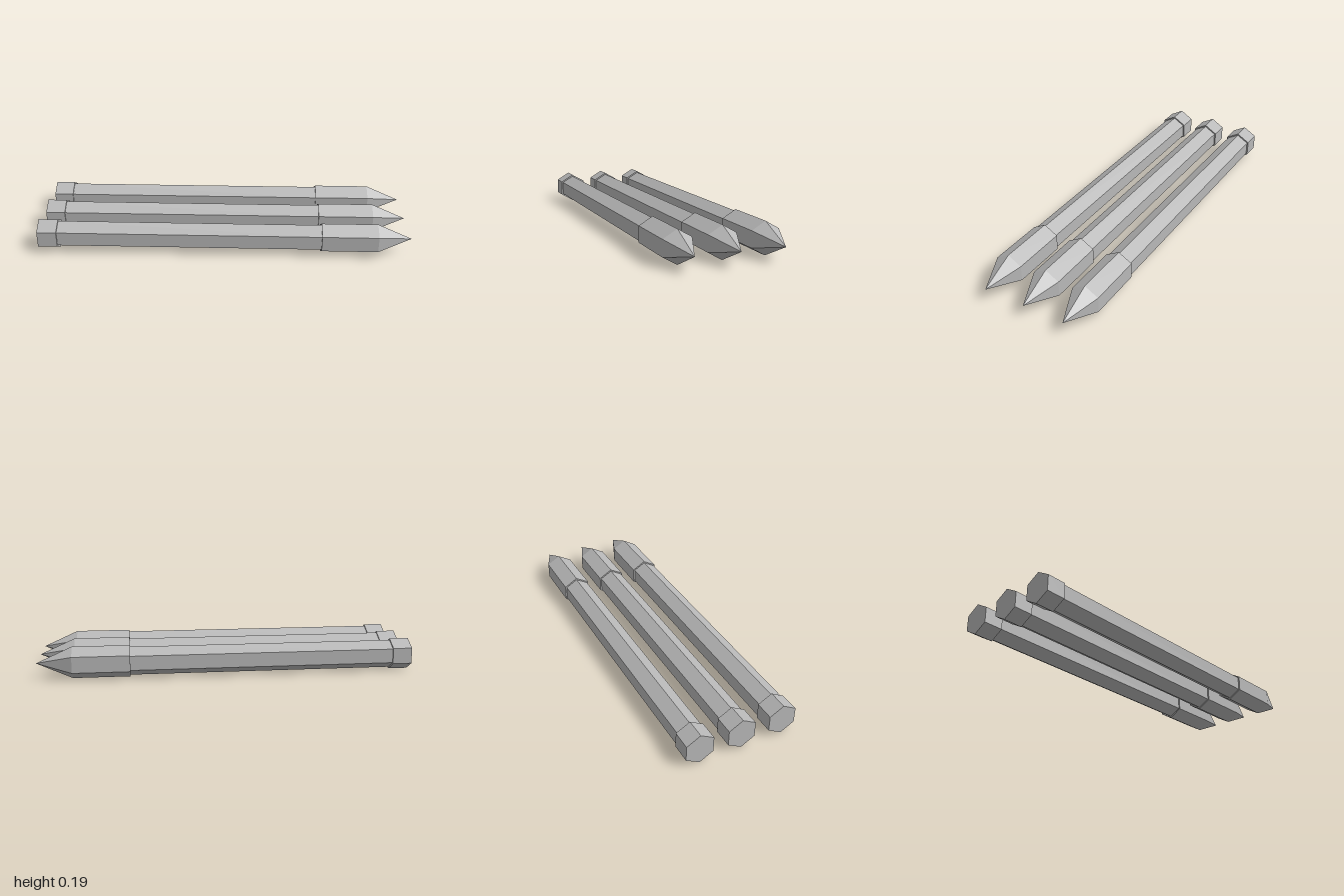
import * as THREE from 'three';

const RADIUS = 0.094;       // butt and head
const SHAFT_RADIUS = 0.084;
const OFFSET = 0.179;       // step in x and z between neighbouring stakes

// Six-sided section lying along z, ridge up, from z0 to z1
function section(name, material, z0, z1, r0, r1, openEnded = false) {
  const geometry = new THREE.CylinderGeometry(r1, r0, z1 - z0, 6, 1, openEnded);
  geometry.rotateX(Math.PI / 2);
  geometry.translate(0, 0, (z0 + z1) / 2);
  const mesh = new THREE.Mesh(geometry, material);
  mesh.name = name;
  return mesh;
}

function createStake(material) {
  const stake = new THREE.Group();
  stake.add(
    section('butt', material, -1.08, -0.964, RADIUS, RADIUS),
    section('shaft', material, -0.964, 0.615, SHAFT_RADIUS, SHAFT_RADIUS, true),
    section('head', material, 0.615, 0.949, RADIUS, RADIUS),
    section('point', material, 0.949, 1.157, RADIUS, 0, true),
  );
  return stake;
}

export function createModel() {
  const model = new THREE.Group();
  model.name = 'stakes';
  const grey = new THREE.MeshStandardMaterial({ color: 0xb8b8b8 });
  grey.name = 'grey';
  grey.flatShading = true;

  // Three parallel stakes laid diagonally, points towards the back left
  for (let i = -1; i <= 1; i++) {
    const stake = createStake(grey);
    stake.name = `stake${i + 2}`;
    stake.position.set(i * OFFSET, RADIUS, i * OFFSET);
    stake.rotation.y = 3 * Math.PI / 4;
    model.add(stake);
  }
  return model;
}
